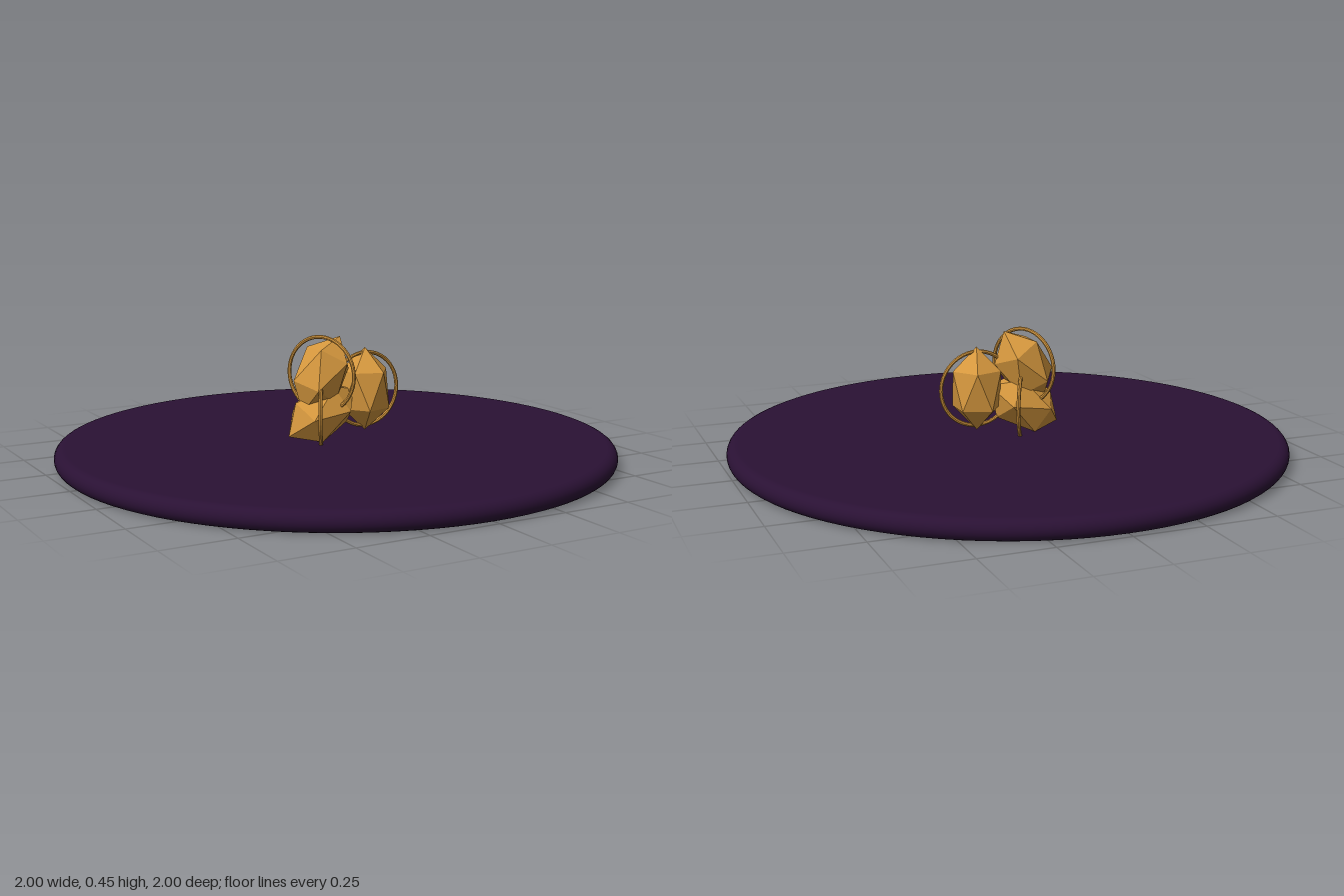
import * as THREE from 'three';

export function createModel() {
  const group = new THREE.Group();
  const gold = new THREE.MeshStandardMaterial({ color: 0xd6983e, flatShading: true });
  gold.name = 'gold';
  const plum = new THREE.MeshStandardMaterial({ color: 0x2a1134 });
  plum.name = 'dark plum';

  const add = (name, geometry, material) => {
    const mesh = new THREE.Mesh(geometry, material);
    mesh.name = name;
    group.add(mesh);
    return mesh;
  };

  // Round base with a fully rounded rim, profile from bottom centre to top centre
  const r = 0.036;
  const profile = [new THREE.Vector2(0, 0), new THREE.Vector2(0.955, 0)];
  for (let i = 0; i <= 12; i++) {
    const a = -Math.PI / 2 + (Math.PI * i) / 12;
    profile.push(new THREE.Vector2(1 - r + r * Math.cos(a), r + r * Math.sin(a)));
  }
  profile.push(new THREE.Vector2(0.955, 2 * r), new THREE.Vector2(0, 2 * r));
  add('base', new THREE.LatheGeometry(profile, 96), plum);

  // Stretched twenty-sided gem standing on one of its points
  const gemGeometry = new THREE.IcosahedronGeometry(0.1, 0);
  gemGeometry.rotateZ(-Math.atan(2 / (1 + Math.sqrt(5))));
  gemGeometry.scale(1, 1.52, 1);

  const ringGeometry = new THREE.TorusGeometry(0.134, 0.007, 8, 48);

  // Three gems lean progressively; each one's ring is turned a third of a circle
  const centres = [[0.12, 0.24], [-0.06, 0.308], [-0.06, 0.17]];
  centres.forEach(([x, y], i) => {
    const gem = add('gem' + (i + 1), gemGeometry, gold);
    gem.position.set(x, y, 0);
    gem.rotation.z = (-i * Math.PI) / 6;

    const ring = add('ring' + (i + 1), ringGeometry, gold);
    ring.position.set(x, y, 0);
    ring.rotation.y = (i * Math.PI * 2) / 3;
  });

  return group;
}
